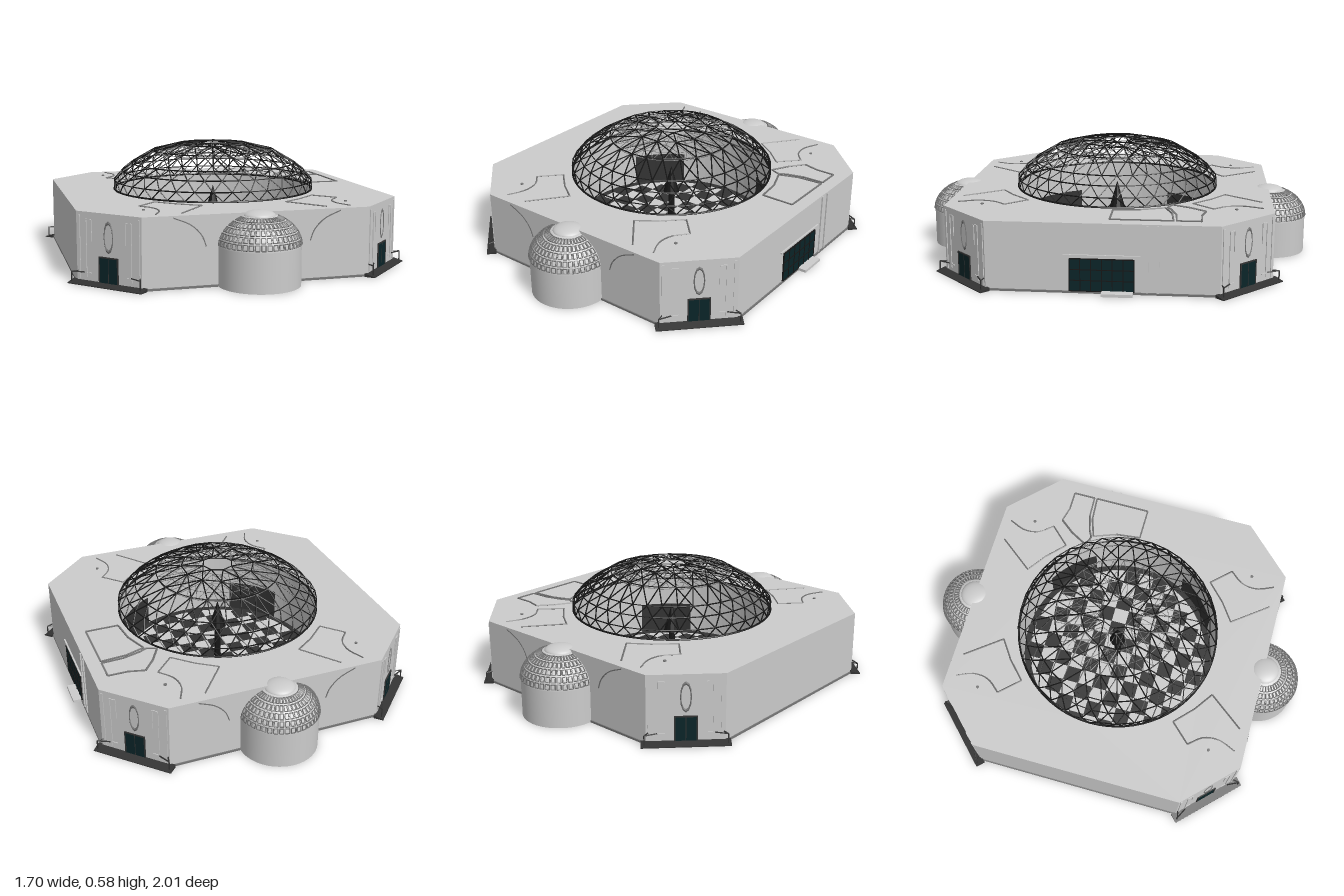
import * as THREE from 'three';
import { mergeGeometries } from 'three/addons/utils/BufferGeometryUtils.js';

const V = (x, y, z) => new THREE.Vector3(x, y, z);
const mat = (color) => new THREE.MeshStandardMaterial({ color, flatShading: true, side: THREE.DoubleSide });
const grey = mat(0xcccccc), dark = mat(0x333333), black = mat(0x161616), teal = mat(0x0a2428), line = mat(0x777777);
const smooth = new THREE.MeshStandardMaterial({ color: 0xcccccc, side: THREE.DoubleSide });

function add(parent, name, geo, material) {
  const m = new THREE.Mesh(Array.isArray(geo) ? mergeGeometries(geo) : geo, material);
  m.name = name;
  parent.add(m);
  return m;
}
const box = (w, h, d, x, y, z) => new THREE.BoxGeometry(w, h, d).translate(x, y, z);

// Thin square bar between two points
function bar(a, b, t) {
  const d = b.clone().sub(a);
  const g = new THREE.BoxGeometry(t, d.length(), t);
  g.applyQuaternion(new THREE.Quaternion().setFromUnitVectors(V(0, 1, 0), d.normalize()));
  return g.translate((a.x + b.x) / 2, (a.y + b.y) / 2, (a.z + b.z) / 2);
}
const bars = (pts, t) => pts.slice(1).map((p, i) => bar(pts[i], p, t));
const curve = (pts, n = 10) => new THREE.CatmullRomCurve3(pts).getPoints(n);

const W = 0.8, C = 0.545, H = 0.335, R = 0.527;

function octagon() {
  return new THREE.Shape([[C, -W], [W, -C], [W, C], [C, W], [-C, W], [-W, C], [-W, -C], [-C, -W]]
    .map(([x, y]) => new THREE.Vector2(x, y)));
}
const slab = (shape, h, y) => new THREE.ExtrudeGeometry(shape, { depth: h, bevelEnabled: false, curveSegments: 48 })
  .rotateX(-Math.PI / 2).translate(0, y, 0);

// Lattice dome: staggered rings joined by triangles
function latticeDome(rings, t) {
  const out = [];
  const pts = rings.map(([r, y, n], k) => Array.from({ length: n }, (_, i) => {
    const a = (i + (k % 2) / 2) / n * Math.PI * 2;
    return V(r * Math.sin(a), y, r * Math.cos(a));
  }));
  pts.forEach((ring, k) => {
    ring.forEach((p, i) => out.push(bar(p, ring[(i + 1) % ring.length], t)));
    if (k === 0) return;
    const inner = ring;
    pts[k - 1].forEach((p) => [...inner]
      .sort((a, b) => a.distanceTo(p) - b.distanceTo(p)).slice(0, 2)
      .forEach((q) => out.push(bar(p, q, t))));
  });
  return out;
}

// Half-round bay with a coffered dome, facing +z
function bay() {
  const g = new THREE.Group();
  const cz = 0.805, r = 0.193, y0 = 0.185, h = 0.148;
  add(g, 'bayWall', new THREE.CylinderGeometry(r, r, y0, 48, 1, true).translate(0, y0 / 2, cz), smooth);
  add(g, 'bayFloor', new THREE.CylinderGeometry(r, r, 0.008, 48).translate(0, 0.004, cz), grey);
  const prof = Array.from({ length: 13 }, (_, i) => {
    const a = i / 12 * Math.PI / 2;
    return new THREE.Vector2(r * Math.cos(a), y0 + h * Math.sin(a));
  });
  add(g, 'bayDome', new THREE.LatheGeometry(prof, 48).translate(0, 0, cz), smooth);
  const ribs = [];
  const at = (lat, a) => V(1.015 * r * Math.cos(lat) * Math.sin(a), y0 + h * 1.015 * Math.sin(lat),
    cz + 1.015 * r * Math.cos(lat) * Math.cos(a));
  const n = 22;
  // Rows of square coffer frames
  for (let row = 0; row < 5; row++) {
    const l0 = 0.06 + row * 0.22, l1 = l0 + 0.16;
    for (let i = 0; i < n; i++) {
      const a0 = -Math.PI / 2 + (i + 0.14) / n * Math.PI, a1 = a0 + 0.72 / n * Math.PI;
      ribs.push(...bars([at(l0, a0), at(l0, a1), at(l1, a1), at(l1, a0), at(l0, a0)], 0.004));
    }
  }
  add(g, 'bayCoffers', ribs, line);
  add(g, 'bayCap', new THREE.SphereGeometry(0.075, 32, 10, 0, Math.PI * 2, 0, Math.PI / 2)
    .scale(1, 0.35, 1).translate(0, y0 + h - 0.014, cz), smooth);
  return g;
}

// Cut corner with entrance, built facing +z
function corner() {
  const g = new THREE.Group();
  const d = (W + C) / Math.SQRT2;
  add(g, 'entranceDoor', box(0.096, 0.125, 0.006, 0, 0.0665, d + 0.001), teal);
  add(g, 'doorFrame', [box(0.006, 0.13, 0.012, -0.051, 0.065, d), box(0.006, 0.13, 0.012, 0.051, 0.065, d),
    box(0.108, 0.006, 0.012, 0, 0.132, d), box(0.003, 0.125, 0.01, 0, 0.065, d)], dark);
  // Sloping step with end rails
  const ramp = new THREE.Shape([[-0.006, 0], [0.044, 0], [0.044, 0.004], [-0.006, 0.016]]
    .map(([x, y]) => new THREE.Vector2(x, y)));
  add(g, 'entranceStep', new THREE.ExtrudeGeometry(ramp, { depth: 0.41, bevelEnabled: false })
    .rotateY(-Math.PI / 2).translate(0.205, 0, d), dark);
  const trim = [], rails = [];
  for (const s of [-1, 1]) {
    trim.push(box(0.012, 0.3, 0.008, s * 0.165, 0.17, d), box(0.005, 0.27, 0.008, s * 0.125, 0.165, d),
      box(0.005, 0.1, 0.008, s * 0.095, 0.25, d), box(0.03, 0.005, 0.008, s * 0.11, 0.3, d),
      box(0.03, 0.005, 0.008, s * 0.11, 0.05, d));
    rails.push(...bars([V(s * 0.19, 0.01, d + 0.03), V(s * 0.19, 0.055, d + 0.03), V(s * 0.17, 0.055, d)], 0.005));
    rails.push(bar(V(s * 0.19, 0.055, d + 0.03), V(s * 0.13, 0.055, d + 0.01), 0.005));
  }
  add(g, 'wallMouldings', trim, grey);
  add(g, 'stepRails', rails, dark);
  add(g, 'ovalFrame', new THREE.TorusGeometry(0.024, 0.003, 4, 12).scale(1, 2.8, 1).translate(0, 0.226, d), line);
  // Opening on the inside of the hall
  add(g, 'innerArch', new THREE.CylinderGeometry(R - 0.004, R - 0.004, 0.17, 10, 1, true, -0.28, 0.56)
    .translate(0, 0.095, 0), dark);
  return g;
}

export function createModel() {
  const model = new THREE.Group();
  model.name = 'domedHall';

  // Walls and roof as one ring, with a floor plate
  const ring = octagon();
  ring.holes.push(new THREE.Path().absarc(0, 0, R, 0, Math.PI * 2, true));
  add(model, 'wallsAndRoof', slab(ring, H - 0.008, 0.008), grey);
  add(model, 'floor', slab(octagon(), 0.008, 0), grey);

  // Checkered floor
  const s = 0.082, tiles = [];
  for (let i = -7; i < 7; i++) for (let j = -7; j < 7; j++) {
    const x = (i + 0.5) * s, z = (j + 0.5) * s;
    if ((i + j) % 2 === 0 && Math.hypot(x, z) < 0.48) tiles.push(box(s, 0.012, s, x, 0.005, z));
  }
  add(model, 'darkTiles', tiles, dark);
  const rim = new THREE.Shape().absarc(0, 0, R, 0, Math.PI * 2);
  rim.holes.push(new THREE.Path().absarc(0, 0, 0.495, 0, Math.PI * 2, true));
  add(model, 'floorRim', slab(rim, 0.011, -0.001), dark);

  // Centrepiece
  add(model, 'centreCone', new THREE.ConeGeometry(0.043, 0.15, 12).translate(0, 0.275, 0), black);
  add(model, 'centrePost', new THREE.CylinderGeometry(0.015, 0.02, 0.2, 8).translate(0, 0.1, 0), black);

  // Lattice dome with a finer layer near the crown
  add(model, 'domeLattice', latticeDome([[R, 0.34, 36], [R, 0.385, 36], [0.485, 0.435, 36], [0.435, 0.475, 36],
    [0.325, 0.54, 24], [0.19, 0.573, 12], [0.08, 0.578, 8]], 0.0045), black);
  add(model, 'crownLattice', latticeDome([[0.32, 0.53, 36], [0.26, 0.545, 36], [0.19, 0.558, 24], [0.1, 0.565, 16]],
    0.0025), line);
  add(model, 'domeBaseRing', new THREE.TorusGeometry(R, 0.005, 6, 72).rotateX(Math.PI / 2).translate(0, 0.338, 0), black);

  // Corners and end bays
  for (let k = 0; k < 4; k++) {
    const c = corner();
    c.name = 'cornerEntrance';
    c.rotation.y = Math.PI / 4 + k * Math.PI / 2;
    model.add(c);
  }
  for (const a of [0, Math.PI]) {
    const b = bay();
    b.name = 'endBay';
    b.rotation.y = a;
    model.add(b);
  }

  // Raised outlines on the roof and arcs on the end walls
  const y = H + 0.001, lines = [];
  for (const sx of [-1, 1]) for (const sz of [-1, 1]) {
    const p = (x, z) => V(sx * x, y, sz * z);
    lines.push(...bars([p(0.35, 0.75), p(0.21, 0.57), p(0.31, 0.5), p(0.405, 0.41), p(0.5, 0.51)], 0.006));
    lines.push(...bars(curve([p(0.5, 0.51), p(0.445, 0.58), p(0.435, 0.66), p(0.47, 0.75)]), 0.006));
    lines.push(...bars(curve([[0.25, 0.19], [0.27, 0.24], [0.32, 0.29], [0.4, 0.325]]
      .map(([x, h]) => V(sx * x, h, sz * W))), 0.005));
    lines.push(new THREE.CylinderGeometry(0.008, 0.008, 0.008, 8).translate(sx * 0.5, y, sz * 0.62));
  }
  const q = (x, z) => V(x, y, z);
  lines.push(...bars([q(0.44, -0.31), q(0.49, -0.4), q(0.55, -0.475), q(0.63, -0.455), q(0.73, -0.455),
    q(0.73, -0.34), q(0.62, -0.335), q(0.53, -0.31), q(0.49, -0.29), q(0.44, -0.31)], 0.008));
  lines.push(...bars([q(0.5, -0.28), q(0.6, -0.315), q(0.73, -0.325), q(0.73, -0.03), q(0.56, -0.03),
    q(0.545, -0.16), q(0.5, -0.28)], 0.008));
  add(model, 'surfaceOutlines', lines, line);

  // Large side gate with canopy, landing and pipes
  add(model, 'sideGate', box(0.008, 0.155, 0.3, W, 0.0885, 0), teal);
  const grid = [];
  for (let i = 0; i <= 6; i++) grid.push(box(0.014, 0.155, 0.004, W, 0.0885, -0.15 + i * 0.05));
  for (let i = 0; i <= 3; i++) grid.push(box(0.014, 0.004, 0.3, W, 0.011 + i * 0.0517, 0));
  add(model, 'gateBars', grid, black);
  add(model, 'gateCanopy', box(0.016, 0.008, 0.36, W, 0.182, 0), grey);
  add(model, 'gateLanding', box(0.05, 0.014, 0.145, 0.823, 0.007, -0.073), grey);
  add(model, 'wallPipes', [box(0.014, 0.32, 0.01, W, 0.17, -0.21), box(0.014, 0.32, 0.01, W, 0.17, -0.26)], grey);

  // Low plinth strips along the straight walls
  const plinth = [];
  for (const t of [-1, 1]) plinth.push(box(2 * C, 0.01, 0.012, 0, 0.005, t * W), box(0.012, 0.01, 2 * C, t * W, 0.005, 0));
  add(model, 'plinth', plinth, line);
  return model;
}
